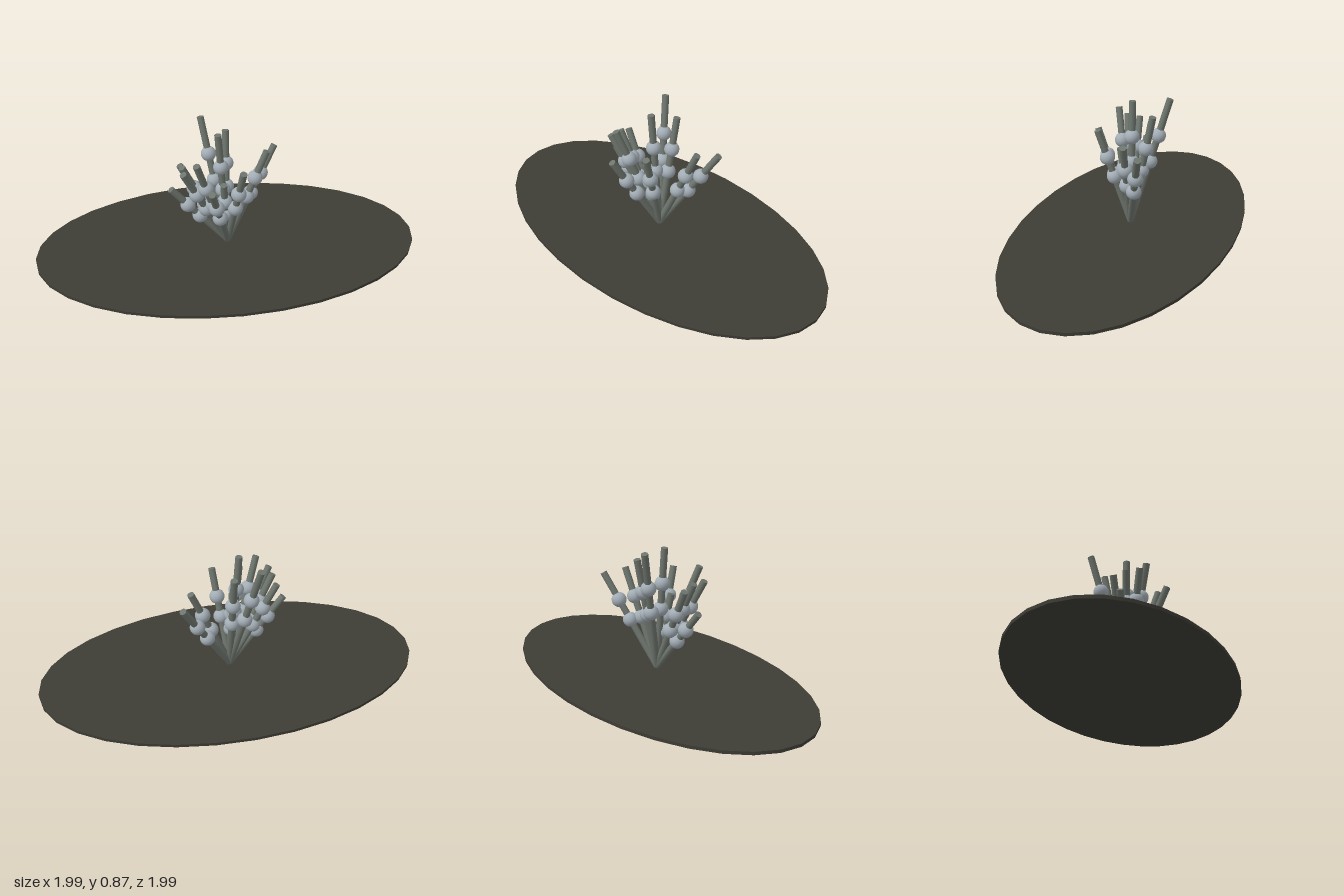
import * as THREE from 'three';

const discMat = new THREE.MeshStandardMaterial({ name: 'dark olive', color: 0x3d3c35 });
const rodMat = new THREE.MeshStandardMaterial({ name: 'grey green', color: 0x6e756e });
const beadMat = new THREE.MeshStandardMaterial({ name: 'pale blue grey', color: 0xa3adb5 });

// Where every rod ends (x, y, z)
const TIPS = [
  [-0.245, 0.86, -0.045], [-0.1, 0.785, -0.11], [-0.035, 0.845, 0.05],
  [-0.03, 0.735, 0.265], [-0.225, 0.63, 0.19], [-0.165, 0.66, 0.24],
  [-0.105, 0.665, 0.3], [-0.23, 0.495, 0.275], [0.105, 0.635, -0.355],
  [0.14, 0.665, -0.22], [0.185, 0.67, 0.085], [0.105, 0.6, 0.29],
  [0.035, 0.53, 0.085],
];
const ROOT = new THREE.Vector3(0, 0.05, 0);
const ROD_RADIUS = 0.022;
const BEAD_RADIUS = 0.048;
const BEAD_STOPS = [0.5, 0.71]; // positions of the beads along a rod

function createStalk(tip) {
  const stalk = new THREE.Group();
  stalk.name = 'stalk';
  const span = tip.clone().sub(ROOT);
  const length = span.length();

  const rod = new THREE.Mesh(new THREE.CylinderGeometry(ROD_RADIUS, ROD_RADIUS, length, 12), rodMat);
  rod.name = 'rod';
  rod.position.y = length / 2;
  stalk.add(rod);

  for (const t of BEAD_STOPS) {
    const bead = new THREE.Mesh(new THREE.SphereGeometry(BEAD_RADIUS, 20, 14), beadMat);
    bead.name = 'bead';
    bead.position.y = length * t;
    stalk.add(bead);
  }

  stalk.position.copy(ROOT);
  stalk.quaternion.setFromUnitVectors(new THREE.Vector3(0, 1, 0), span.normalize());
  return stalk;
}

export function createModel() {
  const model = new THREE.Group();
  model.name = 'beadedCluster';

  // Thin oval base, its long axis on the diagonal
  const discGeo = new THREE.CylinderGeometry(1, 1, 0.02, 32);
  discGeo.scale(1.237, 1, 0.686);
  discGeo.rotateY(Math.PI / 4);
  discGeo.translate(0, 0.01, 0);
  const base = new THREE.Mesh(discGeo, discMat);
  base.name = 'ovalBase';
  model.add(base);

  // Fan of beaded rods
  for (const tip of TIPS) model.add(createStalk(new THREE.Vector3(...tip)));
  return model;
}
